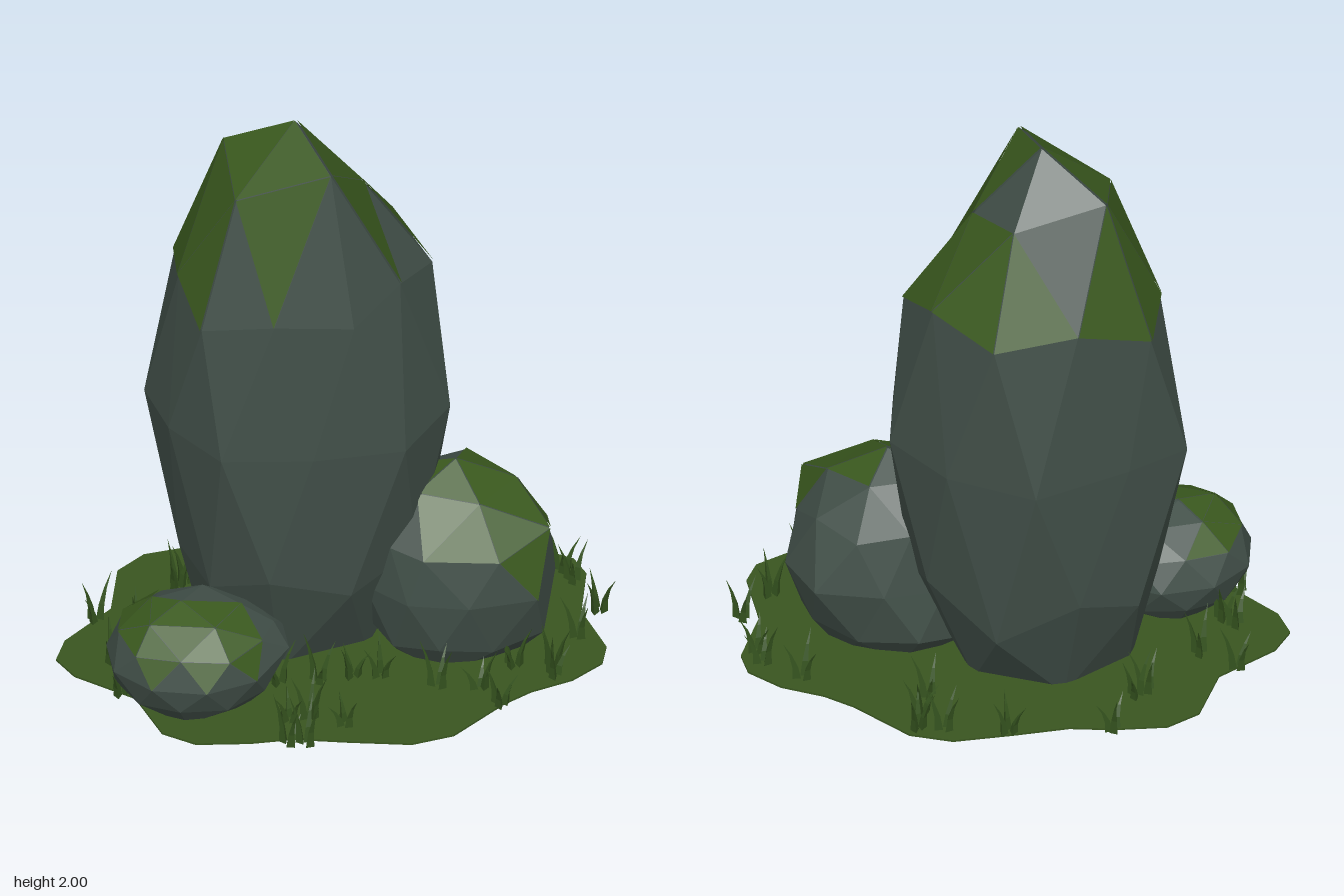
import * as THREE from 'three';

const mat = (name, color, double = false) => {
  const m = new THREE.MeshStandardMaterial({ color, flatShading: true, side: double ? THREE.DoubleSide : THREE.FrontSide });
  m.name = name;
  return m;
};

const degrees = (a) => ((Math.round(THREE.MathUtils.radToDeg(a)) % 360) + 360) % 360;
const azimuth = (v) => degrees(Math.atan2(v.z, v.x)); // 0 = +x, 90 = front
const latitude = (v) => Math.round(THREE.MathUtils.radToDeg(Math.asin(THREE.MathUtils.clamp(v.y, -1, 1))));

// Unit icosphere of 80 faces with a corner at each pole
function poleSphere() {
  const verts = [0, 1, 0], faces = [];
  for (const [side, y] of [[0, 1], [36, -1]]) {
    for (let k = 0; k < 5; k++) {
      const a = THREE.MathUtils.degToRad(72 * k + side);
      verts.push(0.8944 * Math.cos(a), 0.4472 * y, 0.8944 * Math.sin(a));
    }
  }
  verts.push(0, -1, 0);
  for (let k = 0; k < 5; k++) {
    const n = (k + 1) % 5, u = 1 + k, u2 = 1 + n, l = 6 + k, l2 = 6 + n;
    faces.push(0, u2, u, u, u2, l, u2, l2, l, 11, l, l2);
  }
  return new THREE.PolyhedronGeometry(verts, faces, 1, 1);
}

// Boulder with thin moss plates on the faces picked by isMossy(level, azimuth)
// level: 4 = cap, 3 = next triangles, 2 = shoulder, 1 = pointing down to the waist
// tweaks: [latitude, azimuth, dx, dy, dz] moves one corner of the boulder
function rock(name, centre, radii, tweaks, isMossy, stone, moss) {
  const geo = poleSphere(), pos = geo.attributes.position;
  const c = new THREE.Vector3(...centre), r = new THREE.Vector3(...radii), plates = [];
  for (let i = 0; i < pos.count; i += 3) {
    const unit = [0, 1, 2].map((j) => new THREE.Vector3().fromBufferAttribute(pos, i + j));
    const mid = new THREE.Vector3().add(unit[0]).add(unit[1]).add(unit[2]).divideScalar(3);
    const tri = unit.map((u, j) => {
      const p = u.clone().multiply(r).add(c);
      for (const [lat, az, dx, dy, dz] of tweaks) {
        if (lat === latitude(u) && az === azimuth(u)) p.add(new THREE.Vector3(dx, dy, dz));
      }
      pos.setXYZ(i + j, p.x, p.y, p.z);
      return p;
    });
    const level = mid.y > 0.82 ? 4 : mid.y > 0.68 ? 3 : mid.y > 0.5 ? 2 : mid.y > 0.25 ? 1 : 0;
    if (level && isMossy(level, azimuth(mid))) {
      const n = new THREE.Triangle(...tri).getNormal(new THREE.Vector3()).multiplyScalar(0.006);
      tri.forEach((p) => plates.push(p.clone().add(n)));
    }
  }
  geo.computeVertexNormals();
  const mossGeo = new THREE.BufferGeometry().setFromPoints(plates);
  mossGeo.computeVertexNormals();
  const group = new THREE.Group();
  group.name = name;
  const body = new THREE.Mesh(geo, stone), cover = new THREE.Mesh(mossGeo, moss);
  body.name = name + 'Stone';
  cover.name = name + 'Moss';
  group.add(body, cover);
  return group;
}

export function createModel() {
  const model = new THREE.Group();
  const stone = mat('stone', 0x414f48);
  const moss = mat('moss', 0x3a591e, true);
  const turf = mat('turf', 0x395520);
  const blade = mat('grass', 0x34521e, true);

  // Tall standing stone
  model.add(rock('tallRock', [-0.1, 1, -0.09], [0.457, 1, 0.36], [
    [58, 0, -0.04, -0.09, 0], [58, 72, 0, 0.08, 0.02], [58, 144, 0, -0.04, 0],
    [58, 216, 0, 0.03, 0], [58, 288, 0, -0.04, 0.01],
    [32, 108, 0.01, -0.06, 0], [32, 180, 0.04, -0.04, 0], [32, 36, -0.03, -0.02, 0],
    [27, 144, 0.02, -0.04, 0], [27, 288, 0, 0.04, -0.025],
    [0, 90, 0, 0, -0.03], [0, 54, 0.01, 0, 0.03], [0, 270, 0, 0, -0.03], [0, 234, 0, 0, 0.06],
    [0, 162, 0.04, 0, -0.02], [0, 18, 0.01, 0, 0], [0, 342, 0.01, 0, 0],
    [-27, 180, 0.06, -0.04, 0], [-32, 288, 0, -0.05, -0.03], [-32, 144, 0.03, 0, 0], [-32, 216, 0.02, 0, 0],
    [-58, 180, -0.01, -0.05, 0],
  ], (level, az) => {
    if (level === 4) return az < 240;
    if (level === 3) return az < 240 || az > 300;
    return level === 2 && az > 135;
  }, stone, moss));

  // Round rock on the left
  model.add(rock('roundRock', [0.36, 0.44, 0.03], [0.3, 0.37, 0.25], [
    [58, 0, 0.02, -0.03, 0], [58, 72, 0, -0.02, 0.01],
    [32, 36, 0.05, 0, 0.02], [32, 108, -0.05, -0.04, 0], [27, 72, 0.01, -0.02, 0.02], [27, 0, 0, -0.03, 0],
    [0, 306, 0.03, 0, -0.03], [0, 342, 0.015, 0, 0], [0, 54, 0.03, 0, 0.03],
    [-27, 36, 0.02, 0, 0.03], [-32, 216, -0.03, 0, -0.03], [-27, 252, -0.02, 0, -0.03],
  ], (level, az) => {
    if (level === 4) return az < 240 || az > 300;
    if (level === 3) return az < 120;
    if (level === 2) return az < 100;
    return az > 45 && az < 65;
  }, stone, moss));

  // Small low rock on the right
  model.add(rock('smallRock', [-0.45, 0.335, 0.21], [0.265, 0.18, 0.23], [
    [90, 0, -0.04, 0, 0], [58, 144, -0.03, 0, 0], [0, 18, 0.02, 0.03, 0], [0, 342, 0.02, 0.03, 0],
    [-58, 36, 0.02, -0.015, 0], [-58, 108, 0, -0.015, 0.02], [-58, 180, -0.02, -0.015, 0],
    [-58, 252, 0, -0.015, -0.02], [-58, 324, 0.02, -0.015, 0],
  ], (level, az) => {
    if (level > 1) return az > 20 && az < 250;
    return az > 40 && az < 140;
  }, stone, moss));

  // Wavy turf patch, mirrored front to back
  const half = [
    [-0.83, 0], [-0.79, 0.09], [-0.63, 0.23], [-0.58, 0.42], [-0.49, 0.49], [-0.33, 0.51], [-0.2, 0.51],
    [-0.04, 0.55], [0.14, 0.59], [0.27, 0.565], [0.44, 0.43], [0.53, 0.38], [0.66, 0.34], [0.76, 0.27],
    [0.785, 0.19], [0.74, 0],
  ];
  const outline = [...half, ...half.slice(1, -1).reverse().map(([x, z]) => [x, -z])];
  const patch = new THREE.Mesh(new THREE.ExtrudeGeometry(
    new THREE.Shape(outline.map(([x, z]) => new THREE.Vector2(x, z))),
    { depth: 0.006, bevelEnabled: false }), turf);
  patch.name = 'turfPatch';
  patch.rotation.x = -Math.PI / 2;
  patch.position.y = 0.193;
  model.add(patch);

  // Grass tufts of bent, three-sided blades
  let seed = 7;
  const rand = (a, b) => {
    seed = (seed * 16807) % 2147483647;
    return a + (b - a) * (seed / 2147483647);
  };
  const bladeGeo = new THREE.ConeGeometry(0.015, 1, 3, 3, true).translate(0, 0.5, 0);
  const bp = bladeGeo.attributes.position;
  for (let i = 0; i < bp.count; i++) bp.setX(i, bp.getX(i) + 0.04 * bp.getY(i) ** 2);
  bladeGeo.computeVertexNormals();
  const spots = [
    [-0.33, -0.51], [-0.02, -0.54], [0.17, -0.53], [0.25, -0.53], [0.24, -0.45], [0.22, -0.37],
    [0.6, -0.29], [0.72, -0.22], [0.74, -0.16], [0.79, 0], [0.71, 0.12], [0.61, 0.27], [0.61, 0.31],
    [0.26, 0.31], [0.38, 0.34], [0.43, 0.43], [-0.04, 0.46], [-0.14, 0.41], [-0.2, 0.41], [-0.22, 0.53],
    [-0.17, 0.54], [-0.67, 0.03], [-0.63, 0.06], [-0.68, -0.18], [-0.57, -0.12], [-0.39, -0.34],
    [-0.42, -0.31], [-0.67, 0.2], [-0.2, 0.22], [-0.08, 0.23], [0.02, 0.22], [0.1, 0.23], [0.5, 0.24],
  ];
  for (const [x, z] of spots) {
    const tuft = new THREE.Group();
    tuft.name = 'grassTuft';
    tuft.position.set(x, 0.197, z);
    const turn = rand(0, 6.28);
    for (let k = 0; k < 3; k++) {
      const b = new THREE.Mesh(bladeGeo, blade), a = turn + k * 2.09 + rand(-0.5, 0.5);
      b.name = 'grassBlade';
      b.rotation.y = a;
      b.position.set(0.016 * Math.cos(a), 0, -0.016 * Math.sin(a));
      b.scale.set(1, rand(0.08, 0.16), 1);
      tuft.add(b);
    }
    model.add(tuft);
  }
  return model;
}
